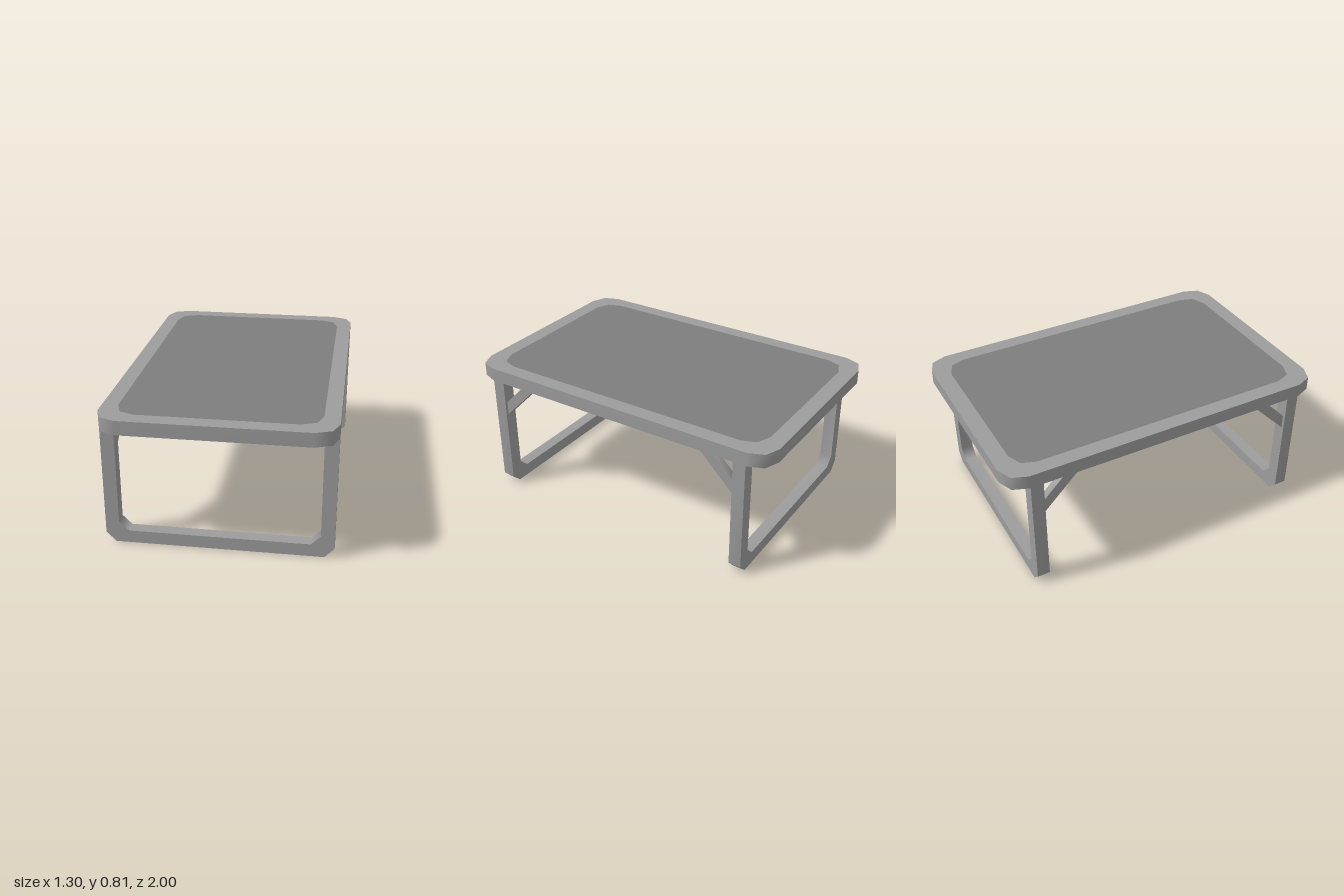
import * as THREE from 'three';

const frameMat = new THREE.MeshStandardMaterial({ color: 0x9c9c9c });
const rimMat = new THREE.MeshStandardMaterial({ color: 0x9c9c9c, side: THREE.DoubleSide });
const panelMat = new THREE.MeshStandardMaterial({ color: 0x7e7e7e, side: THREE.DoubleSide });
const toPoints = pts => pts.map(p => new THREE.Vector2(...p));
const toShape = pts => new THREE.Shape(toPoints(pts));

// Mirror a half outline (x >= 0, in order) across x = 0
const mirrorX = half => [...half, ...half.map(([x, y]) => [-x, y]).reverse()];

// Area-weighted normals, smooth only across soft edges (under 50 degrees)
function softNormals(geo) {
  const pos = geo.attributes.position, groups = new Map(), faces = [];
  const at = i => new THREE.Vector3().fromBufferAttribute(pos, i);
  const key = i => at(i).toArray().map(v => Math.round(v * 1e4)).join();
  for (let i = 0; i < pos.count; i += 3) {
    const a = at(i), n = at(i + 1).sub(a).cross(at(i + 2).sub(a));
    for (let k = i; k < i + 3; k++) {
      faces[k] = n;
      if (!groups.has(key(k))) groups.set(key(k), []);
      groups.get(key(k)).push(n);
    }
  }
  const normals = faces.flatMap((face, i) => {
    const sum = new THREE.Vector3();
    for (const n of groups.get(key(i))) if (n.angleTo(face) < 0.87) sum.add(n);
    return sum.normalize().toArray();
  });
  geo.setAttribute('normal', new THREE.Float32BufferAttribute(normals, 3));
  return geo;
}

const extrude = (shape, depth) =>
  softNormals(new THREE.ExtrudeGeometry(shape, { depth, bevelEnabled: false }));

// Thin wall following a closed outline, open above and below
function wall(outline, height) {
  const v = outline.flatMap((a, i) => {
    const b = outline[(i + 1) % outline.length];
    return [...a, 0, ...b, 0, ...b, height, ...a, 0, ...b, height, ...a, height];
  });
  const geo = new THREE.BufferGeometry();
  geo.setAttribute('position', new THREE.Float32BufferAttribute(v, 3));
  return softNormals(geo);
}

function addMesh(parent, name, geo, mat = frameMat) {
  const mesh = new THREE.Mesh(geo, mat);
  mesh.name = name;
  parent.add(mesh);
  return mesh;
}

// Rectangle whose corners are cut in two facets
const cutRect = (x, y, cx, cy, mx, my) => mirrorX([
  [x - cx, -y], [x - mx, -y + my], [x, -y + cy],
  [x, y - cy], [x - mx, y - my], [x - cx, y],
]);

export function createModel() {
  const table = new THREE.Group();
  table.name = 'foldingTable';
  const top = 0.812, underside = 0.73;

  // Hollow tabletop: thin rim and flush darker panel, with a skirt around the edge
  const outer = cutRect(0.648, 1, 0.125, 0.126, 0.035, 0.036);
  const inner = cutRect(0.558, 0.905, 0.115, 0.12, 0.03, 0.035);
  const rim = toShape(outer);
  rim.holes.push(new THREE.Path(toPoints(inner)));
  const lay = (geo, y) => geo.rotateX(-Math.PI / 2).translate(0, y, 0);
  addMesh(table, 'tableRim', lay(new THREE.ShapeGeometry(rim), top), rimMat);
  addMesh(table, 'tablePanel', lay(new THREE.ShapeGeometry(toShape(inner)), top), panelMat);
  addMesh(table, 'tableSkirt', lay(wall(outer, top - underside), underside), rimMat);

  // U-shaped leg frame with chamfered lower corners
  const legShape = toShape(mirrorX([
    [0.593, 0], [0.648, 0.058], [0.648, underside], [0.57, underside], [0.57, 0.13], [0.515, 0.075],
  ]));
  const legGeo = extrude(legShape, 0.075);

  for (const s of [1, -1]) {
    const end = s > 0 ? 'front' : 'back';
    addMesh(table, end + 'LegFrame', legGeo).position.z = s > 0 ? 0.795 : -0.87;

    // Diagonal braces, centred on the leg width
    const braceShape = toShape([
      [0.795, 0.51], [0.795, 0.595], [0.66, underside], [0.575, underside],
    ].map(([z, y]) => [s * z, y]));
    const braceGeo = extrude(braceShape, 0.044).rotateY(-Math.PI / 2);
    addMesh(table, end + 'LeftBrace', braceGeo).position.x = 0.631;
    addMesh(table, end + 'RightBrace', braceGeo).position.x = -0.587;
  }
  return table;
}
